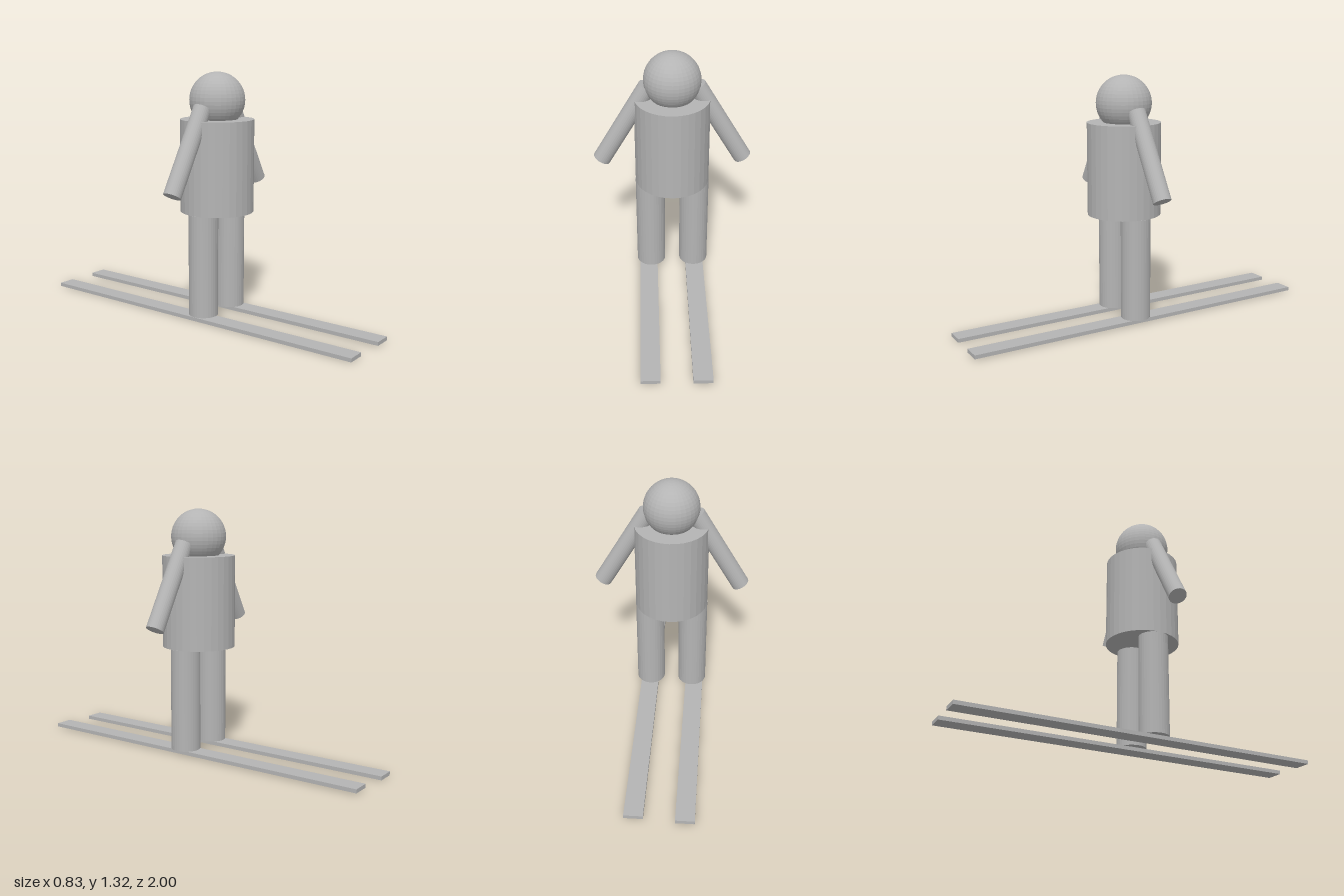
import * as THREE from 'three';

export function createModel() {
  const model = new THREE.Group();
  model.name = 'skier';
  const grey = new THREE.MeshStandardMaterial({ color: 0xb4b4b4, flatShading: true });
  grey.name = 'plain grey';
  const bodyZ = 0.06;

  const add = (name, geometry, x, y, z) => {
    const mesh = new THREE.Mesh(geometry, grey);
    mesh.name = name;
    mesh.position.set(x, y, z);
    model.add(mesh);
    return mesh;
  };
  const cylinder = (radius, height) => new THREE.CylinderGeometry(radius, radius, height, 32);

  // Head and torso
  add('head', new THREE.SphereGeometry(0.148, 32, 24), 0, 1.174, bodyZ);
  add('torso', cylinder(0.197, 0.495), 0, 0.826, bodyZ);

  // Mirrored limbs: arms swing out by 30 degrees
  for (const [side, s] of [['left', 1], ['right', -1]]) {
    add(`${side}Leg`, cylinder(0.079, 0.55), s * 0.119, 0.303, bodyZ);
    const arm = add(`${side}Arm`, cylinder(0.048, 0.495), s * 0.25, 0.924, bodyZ);
    arm.rotation.z = s * Math.PI / 6;
  }

  // Skis, set slightly unevenly
  const ski = new THREE.BoxGeometry(0.098, 0.02, 1.99);
  add('leftSki', ski, 0.123, 0.016, 0.005);
  add('rightSki', ski, -0.134, 0.01, -0.005);

  return model;
}
